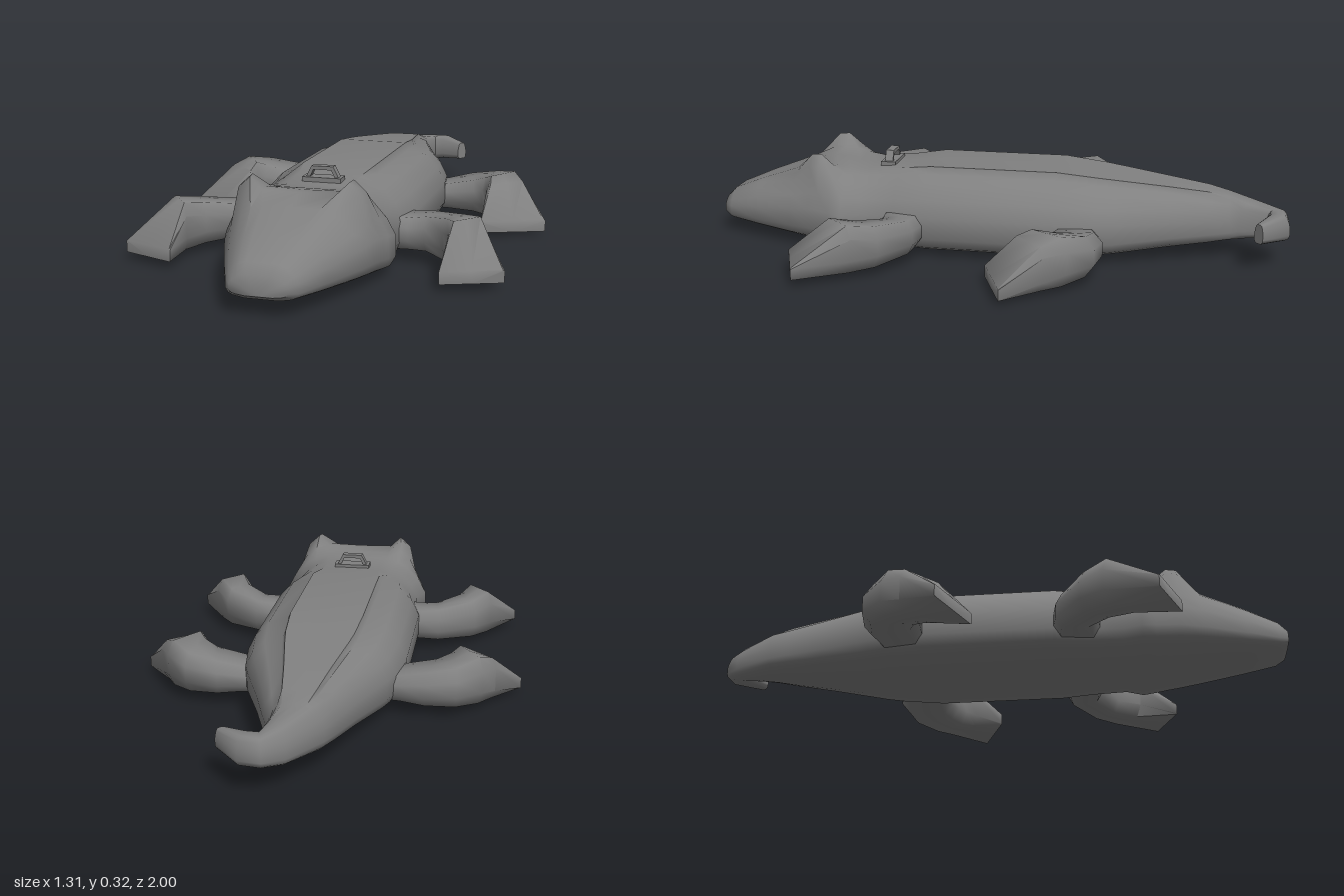
import * as THREE from 'three';
import { toCreasedNormals } from 'three/addons/utils/BufferGeometryUtils.js';

const material = new THREE.MeshStandardMaterial({ color: 0x808080 });

// Half outlines: [sideways 0..1, height 0..1], from belly to back
const FLANK = [[0, 0], [0.47, 0], [0.8, 0.06], [0.93, 0.12], [1, 0.24], [1, 0.5], [0.9, 0.69]];
const ROUND = [...FLANK, [0.74, 0.86], [0.6, 0.95], [0.42, 1], [0, 1]];
const STRIP = [...FLANK, [0.73, 0.86], [0.49, 0.91], [0.45, 1], [0, 1]]; // raised back panel
const BROW_LOW = [...FLANK, [0.78, 0.93], [0.64, 1.03], [0.46, 1], [0, 1]];
const BROW = [...FLANK, [0.82, 1.02], [0.66, 1.15], [0.5, 1.01], [0, 1]]; // bump over the eye
// Limb outline, a rectangle with cut corners of size c
const limbOutline = (c) => [[0, 0], [1 - c, 0], [1, c], [1, 1 - c], [1 - c, 1], [0, 1]];

// Close a half outline by mirroring it
const closeOutline = (half) => half.concat(half.slice(1, -1).reverse().map(([u, v]) => [-u, v]));

// Skin a row of sections { l: [x, z], r: [x, z], bottom, top, outline }
function loft(sections, crease) {
  const positions = [], index = [];
  const n = closeOutline(sections[0].outline).length;
  for (const s of sections) {
    for (const [u, v] of closeOutline(s.outline)) {
      const t = (u + 1) / 2;
      positions.push(
        THREE.MathUtils.lerp(s.l[0], s.r[0], t),
        THREE.MathUtils.lerp(s.bottom, s.top, v),
        THREE.MathUtils.lerp(s.l[1], s.r[1], t));
    }
  }
  for (let i = 0; i < sections.length - 1; i++) {
    for (let j = 0; j < n; j++) {
      const a = i * n + j, b = i * n + (j + 1) % n;
      index.push(a, b, b + n, a, b + n, a + n);
    }
  }
  // End caps
  const last = (sections.length - 1) * n;
  for (let j = 1; j < n - 1; j++) {
    index.push(0, j + 1, j, last, last + j, last + j + 1);
  }
  const geometry = new THREE.BufferGeometry();
  geometry.setAttribute('position', new THREE.Float32BufferAttribute(positions, 3));
  geometry.setIndex(index);
  return toCreasedNormals(geometry, crease);
}

function addMesh(parent, name, geometry) {
  const mesh = new THREE.Mesh(geometry, material);
  mesh.name = name;
  parent.add(mesh);
}

// Limb from rows [innerX, innerZ, outerX, outerZ, bottom, top, corner]; side is +1 or -1
function limb(rows, side) {
  return loft(rows.map(([ix, iz, ox, oz, bottom, top, c]) => {
    const inner = [ix * side, iz], outer = [ox * side, oz];
    return {
      l: side > 0 ? inner : outer, r: side > 0 ? outer : inner,
      bottom, top, outline: limbOutline(c),
    };
  }), 1.2);
}

export function createModel() {
  const model = new THREE.Group();
  model.name = 'inflatableCrocodile';

  // Curled tail: [leftX, leftZ, rightX, rightZ, bottom, top]
  const tail = [
    [0.215, -0.91, 0.187, -0.883, 0.1, 0.165],
    [0.13, -1.0, 0.11, -0.918, 0.09, 0.18],
    [0.06, -1.0, 0.082, -0.92, 0.085, 0.18],
    [0.0, -0.945, 0.077, -0.83, 0.07, 0.19],
  ].map(([lx, lz, rx, rz, bottom, top]) => ({ l: [lx, lz], r: [rx, rz], bottom, top, outline: ROUND }));

  // Trunk and head: [z, half width, bottom, top, outline]
  const trunk = [
    [-0.8, 0.088, 0.057, 0.21, ROUND],
    [-0.73, 0.115, 0.048, 0.225, STRIP],
    [-0.6, 0.16, 0.035, 0.242, STRIP],
    [-0.42, 0.23, 0.015, 0.264, STRIP],
    [-0.36, 0.25, 0.011, 0.271, STRIP],
    [-0.22, 0.272, 0.002, 0.286, STRIP],
    [0.22, 0.272, 0.002, 0.286, STRIP],
    [0.33, 0.25, 0.005, 0.272, ROUND],
    [0.45, 0.243, 0.008, 0.262, ROUND],
    [0.51, 0.272, 0.002, 0.268, ROUND],
    [0.555, 0.26, 0.004, 0.277, BROW_LOW],
    [0.6, 0.247, 0.008, 0.282, BROW],
    [0.635, 0.24, 0.011, 0.28, BROW],
    [0.71, 0.217, 0.019, 0.252, ROUND],
    [0.86, 0.158, 0.033, 0.198, ROUND],
    [0.97, 0.11, 0.045, 0.153, ROUND],
    [1.0, 0.088, 0.062, 0.125, ROUND],
  ].map(([z, w, bottom, top, outline]) => ({ l: [-w, z], r: [w, z], bottom, top, outline }));
  addMesh(model, 'body', loft([...tail, ...trunk], 1.0));

  const frontLeg = [
    [0.2, 0.375, 0.2, 0.225, 0.045, 0.15, 0.3],
    [0.275, 0.37, 0.275, 0.22, 0.045, 0.15, 0.3],
    [0.325, 0.355, 0.345, 0.232, 0.04, 0.155, 0.3],
    [0.4, 0.42, 0.475, 0.315, 0.03, 0.17, 0.3],
    [0.435, 0.5, 0.53, 0.39, 0.025, 0.185, 0.27],
    [0.435, 0.635, 0.622, 0.562, 0.025, 0.065, 0.05],
  ];
  const backLeg = [
    [0.2, -0.225, 0.2, -0.37, 0.045, 0.125, 0.3],
    [0.275, -0.22, 0.26, -0.38, 0.045, 0.135, 0.3],
    [0.38, -0.212, 0.34, -0.4, 0.04, 0.155, 0.3],
    [0.415, -0.19, 0.45, -0.385, 0.035, 0.172, 0.3],
    [0.435, -0.165, 0.53, -0.31, 0.025, 0.187, 0.28],
    [0.44, -0.125, 0.57, -0.24, 0.02, 0.165, 0.22],
    [0.44, -0.03, 0.655, -0.115, 0.015, 0.055, 0.05],
  ];

  for (const side of [1, -1]) {
    const label = side > 0 ? 'left' : 'right';
    addMesh(model, label + 'FrontLeg', limb(frontLeg, side));
    addMesh(model, label + 'BackLeg', limb(backLeg, side));
  }

  // Grab handle: base plate with a bent strap
  const handle = new THREE.Group();
  handle.name = 'grabHandle';
  handle.position.set(0, 0.27, 0.39);
  model.add(handle);
  addMesh(handle, 'handlePlate', new THREE.BoxGeometry(0.13, 0.02, 0.052));
  const strap = new THREE.Shape([
    [-0.055, 0.008], [-0.036, 0.045], [0.036, 0.045], [0.055, 0.008],
    [0.042, 0.008], [0.03, 0.033], [-0.03, 0.033], [-0.042, 0.008],
  ].map(([x, y]) => new THREE.Vector2(x, y)));
  const strapGeometry = new THREE.ExtrudeGeometry(strap, { depth: 0.028, bevelEnabled: false });
  addMesh(handle, 'handleStrap', strapGeometry.translate(0, 0, -0.014));

  return model;
}
